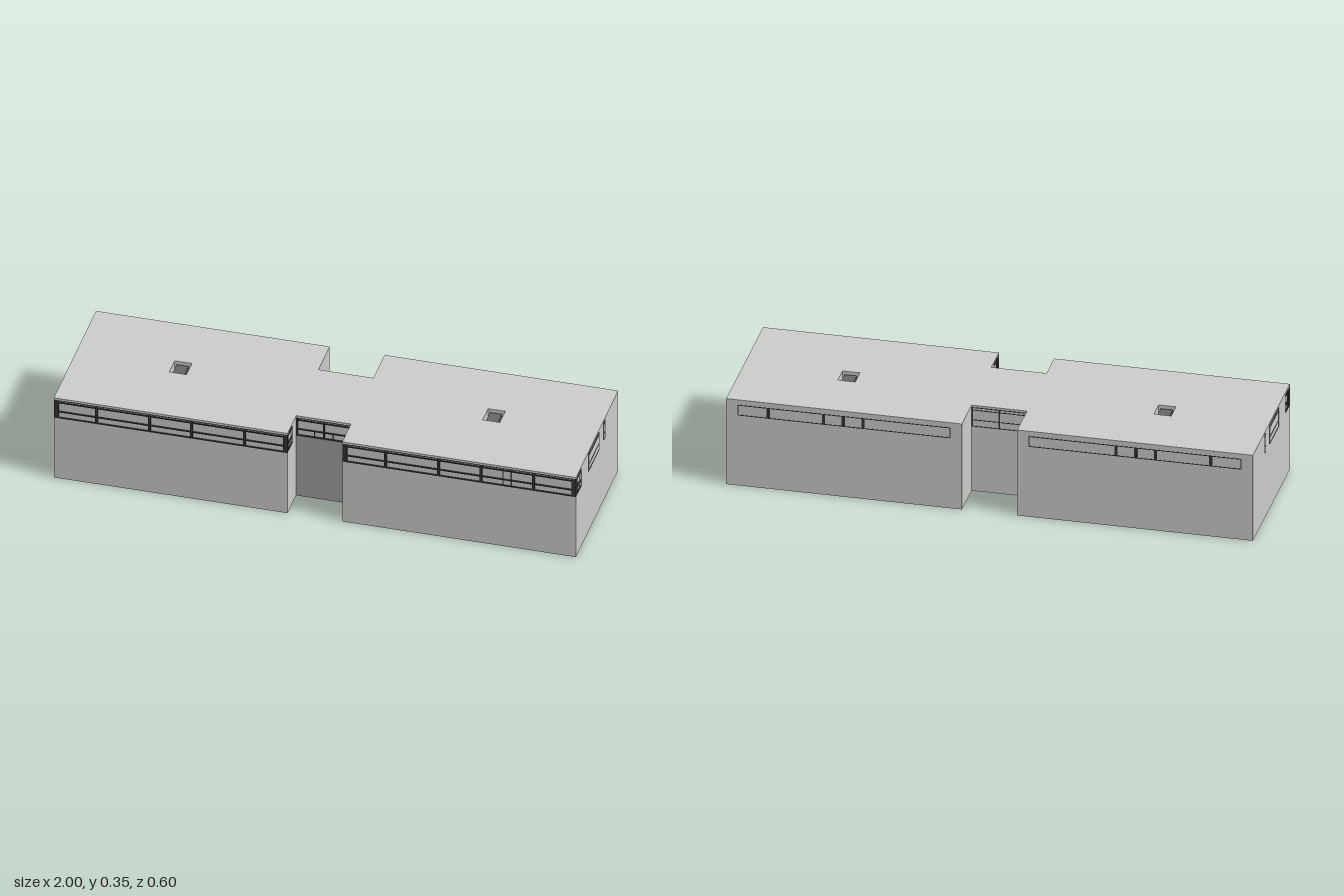
import * as THREE from 'three';

export function createModel() {
  const model = new THREE.Group();
  model.name = 'building';
  const wall = new THREE.MeshStandardMaterial({ color: 0xcccccc });
  const dark = new THREE.MeshStandardMaterial({ color: 0x333333 });
  const shade = new THREE.MeshStandardMaterial({ color: 0x9e9e9e });
  const hatch = new THREE.MeshStandardMaterial({ color: 0x666666 });

  const X = 1, NX = 0.105, ZF = 0.297, ZB = -0.297, NF = 0.175, NB = -0.14;
  const Y0 = 0.267, Y1 = 0.347, TOP = 0.355, WRAP = 0.223, IN = 0.006;

  const box = (name, mat, x0, x1, y0, y1, z0, z1) => {
    const m = new THREE.Mesh(new THREE.BoxGeometry(Math.abs(x1 - x0), y1 - y0, Math.abs(z1 - z0)), mat);
    m.position.set((x0 + x1) / 2, (y0 + y1) / 2, (z0 + z1) / 2);
    m.name = name;
    model.add(m);
  };

  // H-shaped storey with two light shafts; half is the +x outline from front to back
  const storey = (name, half, y0, y1) => {
    const left = half.map(([x, z]) => [-x, z]).reverse();
    const shape = new THREE.Shape([...half, ...left].map(([x, z]) => new THREE.Vector2(x, -z)));
    for (const s of [-1, 1]) {
      const hole = new THREE.Path();
      const cx = 0.6 * s, w = 0.033, h = 0.038, cy = 0.018;
      hole.moveTo(cx - w, cy - h).lineTo(cx - w, cy + h).lineTo(cx + w, cy + h).lineTo(cx + w, cy - h).closePath();
      shape.holes.push(hole);
    }
    const g = new THREE.ExtrudeGeometry(shape, { depth: y1 - y0, bevelEnabled: false });
    g.rotateX(-Math.PI / 2).translate(0, y0, 0);
    const m = new THREE.Mesh(g, wall);
    m.name = name;
    model.add(m);
  };
  const outline = [[NX, NF], [NX, ZF], [X, ZF], [X, ZB], [NX, ZB], [NX, NB]];
  const glazed = [
    [NX, NF - IN], [NX, WRAP], [NX + IN, WRAP], [NX + IN, ZF - IN], [X - IN, ZF - IN],
    [X - IN, WRAP], [X, WRAP], [X, ZB], [NX, ZB], [NX, NB],
  ];
  storey('lowerWalls', outline, 0, Y0);
  storey('glazedStorey', glazed, Y0, Y1);
  storey('roof', outline, Y1, TOP);

  // Darker entrance wall between the wings
  box('entranceWall', shade, -NX, NX, 0, Y0, NF - 0.002, NF + 0.001);

  const T = 0.0015; // half thickness of a thin bar
  const P = 0.001;  // how far a frame stands proud of its wall
  const rows = [Y0 + T, 0.295, 0.335, Y1 - T];

  for (const s of [-1, 1]) {
    // Front window band with corner posts
    for (const y of rows) {
      box('frontWindowRail', dark, s * NX, s * X, y - T, y + T, ZF - IN, ZF);
      for (const x of [X - IN, NX])
        box('cornerWindowRail', dark, s * x, s * (x + IN), y - T, y + T, WRAP, ZF - IN);
    }
    for (const x of [0.27, 0.473, 0.635, 0.837])
      box('frontMullion', dark, s * (x - 0.005), s * (x + 0.005), Y0, Y1, ZF - IN, ZF);
    box('outerCornerPost', dark, s * (X - 0.018), s * X, Y0, Y1, ZF - 0.018, ZF);
    box('innerCornerPost', dark, s * NX, s * (NX + 0.018), Y0, Y1, ZF - 0.018, ZF);

    // Side windows: one wide, one slim
    for (const [za, zb] of [[0.12, -0.028], [-0.093, -0.113]]) {
      const xa = s * (X - 0.004), xb = s * X + s * P;
      for (const y of rows) box('sideWindowRail', dark, xa, xb, y - T, y + T, zb, za);
      for (const z of [za - T, zb + T]) box('sideWindowJamb', dark, xa, xb, Y0, Y1, z - T, z + T);
    }

    // Back window strip
    const za = ZB + 0.004, zb = ZB - P;
    for (const y of [0.292, 0.333]) box('backWindowRail', dark, s * 0.15, s * 0.955, y - T, y + T, za, zb);
    for (const x of [0.15, 0.955]) box('backWindowJamb', dark, s * (x - T), s * (x + T), 0.292, 0.333, za, zb);
    for (const x of [0.48, 0.555, 0.63, 0.84])
      box('backMullion', dark, s * (x - 0.006), s * (x + 0.006), 0.292, 0.333, za, zb);

    // Panel in the roof opening
    box('skylightPanel', hatch, s * 0.6 - 0.023, s * 0.6 + 0.023, 0.335, 0.345, -0.048, 0.012);
  }
  // Narrow opening light in the +x front band
  for (const x of [0.72, 0.75]) box('ventFrame', dark, x - T, x + T, Y0, Y1, ZF - IN, ZF - 0.002);

  // Windows of the connecting bridge, front and back
  for (const [z0, z1] of [[NF - IN, NF], [NB - P, NB + 0.004]]) {
    for (const y of rows) box('bridgeRail', dark, -NX, NX, y - T, y + T, z0, z1);
    for (const x of [-NX + 0.003, 0, NX - 0.003]) box('bridgeMullion', dark, x - 0.003, x + 0.003, Y0, Y1, z0, z1);
  }
  for (const x of [-0.035, 0.035]) box('bridgeShortMullion', dark, x - T, x + T, Y0, 0.295, NF - IN, NF);

  return model;
}
